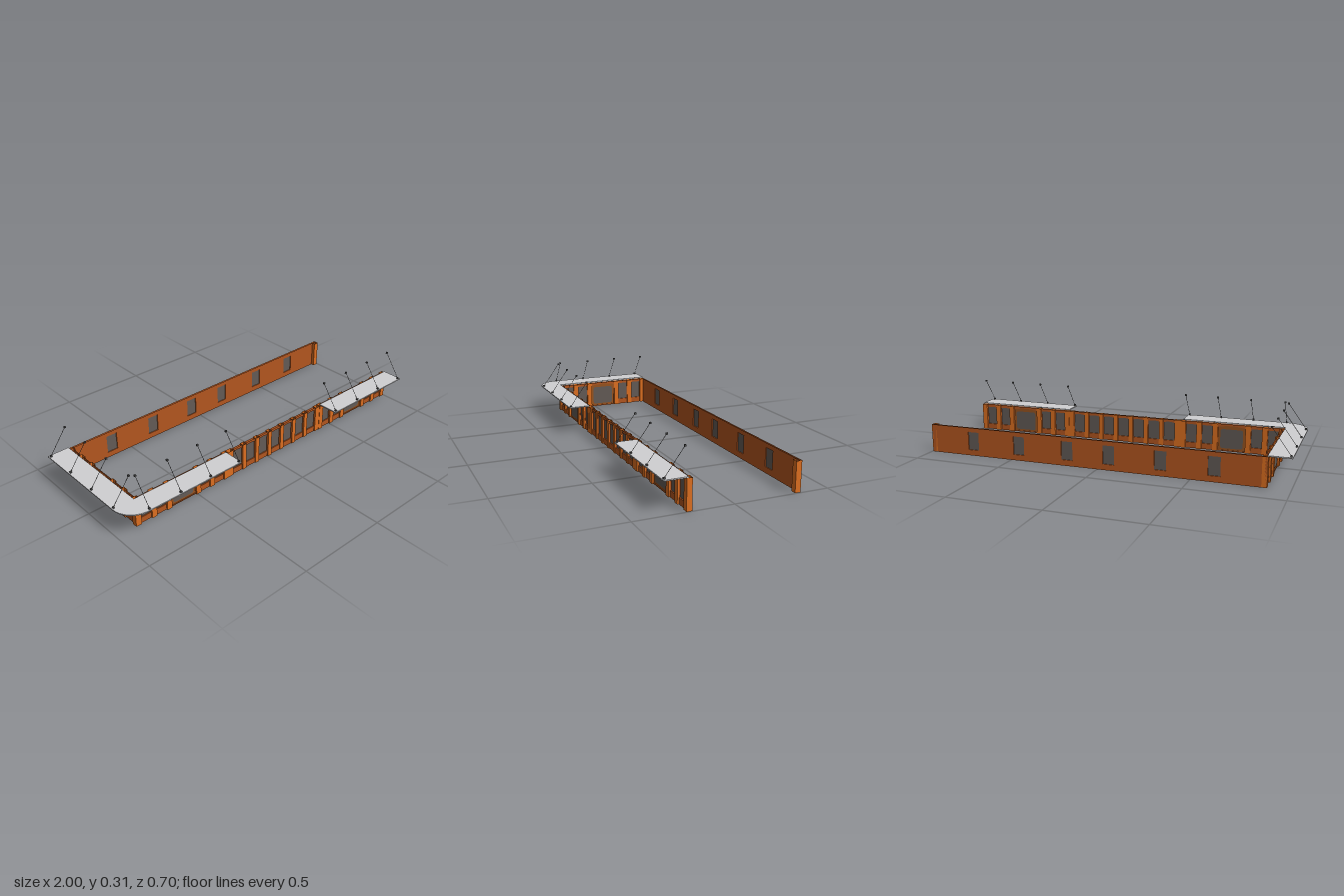
import * as THREE from 'three';

const mat = (name, color, double) => {
  const m = new THREE.MeshStandardMaterial({ color });
  m.name = name;
  if (double) m.side = THREE.DoubleSide;
  return m;
};
const H = 0.157; // wall height

export function createModel() {
  const orange = mat('orange brick', 0xdc6e20, true);
  const brick = mat('dark brick', 0xb2551f, true);
  const brown = mat('display brown', 0x96521f, true);
  const glass = mat('smoky glass', 0x625a55, true);
  const grey = mat('canopy grey', 0xd0d0d2);
  const steel = mat('dark steel', 0x505050);

  const add = (parent, name, geo, material, x = 0, y = 0, z = 0) => {
    const m = new THREE.Mesh(geo, material);
    m.name = name;
    m.position.set(x, y, z);
    parent.add(m);
    return m;
  };

  // Leaves walls and pilasters open at the top and the foot
  const openEnds = (geo) => {
    const g = geo.index ? geo.toNonIndexed() : geo;
    const p = g.attributes.position.array;
    const kept = [];
    for (let i = 0; i < p.length; i += 9) {
      const ys = [p[i + 1], p[i + 4], p[i + 7]];
      if (ys.every((y) => y > H - 1e-4) || ys.every((y) => y < 1e-4)) continue;
      for (let k = 0; k < 9; k++) kept.push(p[i + k]);
    }
    const out = new THREE.BufferGeometry();
    out.setAttribute('position', new THREE.Float32BufferAttribute(kept, 3));
    out.computeVertexNormals();
    return out;
  };

  const rect = (x0, x1, y0, y1) => new THREE.Shape([
    new THREE.Vector2(x0, y0), new THREE.Vector2(x1, y0),
    new THREE.Vector2(x1, y1), new THREE.Vector2(x0, y1)]);

  // Wall slab centred on local z = 0
  const slab = (shape, depth) => openEnds(new THREE.ExtrudeGeometry(shape,
    { depth, bevelEnabled: false, curveSegments: 10 }).translate(0, 0, -depth / 2));

  const pilaster = (parent, x0, x1, depth = 0.028, z = 0) => add(parent, 'pilaster',
    openEnds(new THREE.BoxGeometry(x1 - x0, H, depth).translate(0, H / 2, 0)),
    orange, (x0 + x1) / 2, 0, z);

  const panel = (parent, name, material, x0, x1, y0, y1) => add(parent, name,
    new THREE.PlaneGeometry(x1 - x0, y1 - y0), material, (x0 + x1) / 2, (y0 + y1) / 2, 0);
  const pane = (parent, ...box) => panel(parent, 'windowPane', glass, ...box);

  // Infill with an arched opening between two pilasters
  const bay = (parent, x0, x1, y0 = 0.033, rise = 0.018) => {
    const s = rect(x0, x1, 0, H);
    const a = x0 + 0.001, b = x1 - 0.001, spring = 0.138;
    const hole = new THREE.Path();
    hole.moveTo(a, y0);
    hole.lineTo(a, spring);
    hole.quadraticCurveTo((a + b) / 2, spring + rise, b, spring);
    hole.lineTo(b, y0);
    hole.closePath();
    s.holes.push(hole);
    add(parent, 'archedBay', slab(s, 0.012), brick);
  };

  // Five-bay shopfront with a wide display window in the middle
  const posts = [0, 0.094, 0.187, 0.374, 0.467, 0.561];
  const shopfront = (name) => {
    const g = new THREE.Group();
    g.name = name;
    posts.forEach((x) => pilaster(g, x, x + 0.03));
    for (let i = 0; i < 5; i++) {
      const x0 = posts[i] + 0.03, x1 = posts[i + 1];
      if (i === 2) {
        bay(g, x0, x1, 0.006);
        add(g, 'displayPanel', slab(rect(x0, x1, 0.004, 0.148), 0.006), brown);
        // rounded display glass on both faces
        const a = x0 + 0.014, b = x1 - 0.014, c = 0.016, d = 0.127, r = 0.016;
        const s = new THREE.Shape();
        s.moveTo(a + r, c);
        s.lineTo(b - r, c);
        s.quadraticCurveTo(b, c, b, c + r);
        s.lineTo(b, d - r);
        s.quadraticCurveTo(b, d, b - r, d);
        s.lineTo(a + r, d);
        s.quadraticCurveTo(a, d, a, d - r);
        s.lineTo(a, c + r);
        s.quadraticCurveTo(a, c, a + r, c);
        for (const z of [-0.0042, 0.0042]) {
          add(g, 'displayGlass', new THREE.ShapeGeometry(s, 5), glass, 0, 0, z);
        }
      } else {
        bay(g, x0, x1);
        pane(g, x0, x1, 0.032, 0.139);
        panel(g, 'archPanel', brick, x0, x1, 0.139, 0.15);
      }
    }
    return g;
  };

  const model = new THREE.Group();
  model.name = 'shopArcade';

  // Front shopfronts and the side wall
  const frontZ = 0.225;
  const rightFront = shopfront('frontShopRight');
  rightFront.position.set(-0.881, 0, frontZ);
  const leftFront = shopfront('frontShopLeft');
  leftFront.position.set(0.406, 0, frontZ);
  const side = shopfront('sideShop');
  side.position.set(-0.87, 0, -0.352);
  side.rotation.y = -Math.PI / 2;
  model.add(rightFront, leftFront, side);

  // Middle row of seven narrow bays
  const middle = new THREE.Group();
  middle.name = 'middleRow';
  middle.position.z = frontZ;
  const pitch = 0.0933, half = 0.034, mid = 0.06;
  for (let i = 0; i < 7; i++) {
    const c = mid + (i - 3) * pitch;
    bay(middle, c - half, c + half, 0.033, 0.01);
    pane(middle, c - half, c + half, 0.032, 0.146);
    if (i < 6) pilaster(middle, c + half, c + pitch - half, 0.024);
  }
  pilaster(middle, -0.29, mid - 3 * pitch - half, 0.024);
  pilaster(middle, mid + 3 * pitch + half, 0.406, 0.024);
  model.add(middle);

  // Plain rear wall with six windows
  const rear = new THREE.Group();
  rear.name = 'rearWall';
  rear.position.z = -0.347;
  const rearShape = rect(-0.88, 0.99, 0, H);
  for (const x of [-0.622, -0.344, -0.064, 0.17, 0.453, 0.731]) {
    const box = [x - 0.032, x + 0.032, 0.032, 0.133];
    rearShape.holes.push(rect(...box));
    pane(rear, ...box);
  }
  add(rear, 'rearWallSlab', slab(rearShape, 0.01), brick);
  pilaster(rear, 0.965, 0.995, 0.03, 0.01);
  model.add(rear);

  // Canopies: shape y maps to -z
  const canopy = (name, shape) => add(model, name, new THREE.ExtrudeGeometry(shape,
    { depth: 0.006, bevelEnabled: false, curveSegments: 16 }).rotateX(-Math.PI / 2),
    grey, 0, 0.157, 0);
  const corner = new THREE.Shape();
  corner.moveTo(-0.88, 0.352);
  corner.lineTo(-1, 0.352);
  corner.lineTo(-1, -0.23);
  corner.absarc(-0.88, -0.23, 0.12, Math.PI, Math.PI * 1.5, false);
  corner.lineTo(-0.3, -0.35);
  corner.lineTo(-0.3, -0.23);
  corner.lineTo(-0.88, -0.23);
  corner.closePath();
  canopy('cornerCanopy', corner);
  canopy('leftCanopy', rect(0.413, 0.997, -0.35, -0.23));

  // Slanted tie rods with a small bracket at each end
  const tieRod = (foot, head) => {
    const g = new THREE.Group();
    g.name = 'tieRod';
    const dir = head.clone().sub(foot);
    const rod = add(g, 'rod', new THREE.CylinderGeometry(0.0012, 0.0012, dir.length(), 6), steel);
    rod.position.copy(foot).add(head).multiplyScalar(0.5);
    rod.quaternion.setFromUnitVectors(new THREE.Vector3(0, 1, 0), dir.normalize());
    for (const p of [foot, head]) {
      add(g, 'bracket', new THREE.BoxGeometry(0.009, 0.009, 0.009), steel, p.x, p.y, p.z);
    }
    model.add(g);
  };
  for (const x of [-0.87, -0.683, -0.496, -0.309, 0.424, 0.609, 0.795, 0.983]) {
    tieRod(new THREE.Vector3(x, 0.167, 0.341), new THREE.Vector3(x, 0.301, 0.243));
  }
  for (const z of [0.223, 0.037, -0.15, -0.337]) {
    tieRod(new THREE.Vector3(-0.99, 0.167, z), new THREE.Vector3(-0.892, 0.301, z));
  }

  return model;
}
